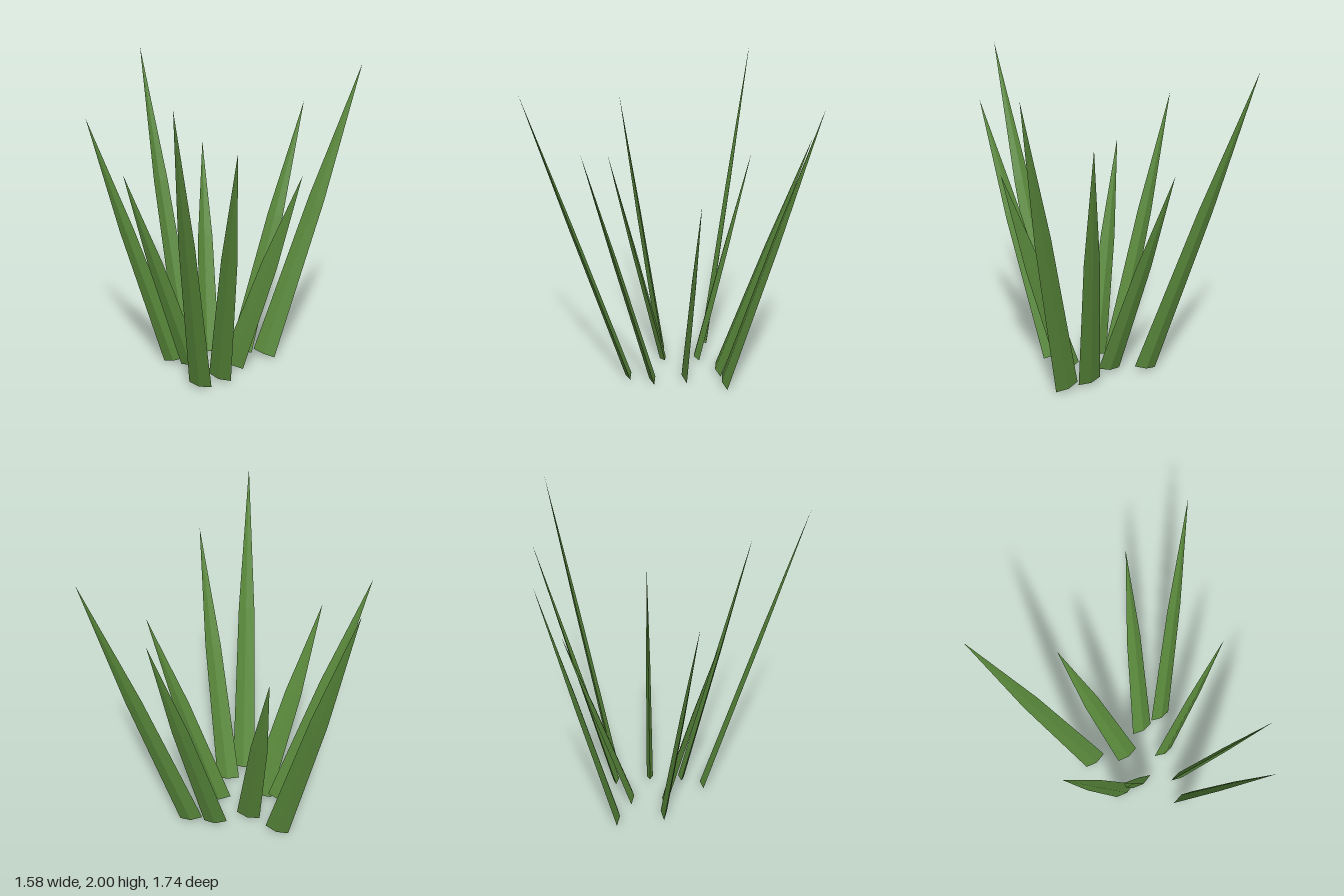
import * as THREE from 'three';

// Each blade: base x, base z, then tip x, y, z
const BLADES = [
  [-0.28, -0.368, -0.79, 2.0, -0.768],
  [-0.065, -0.272, -0.28, 1.4, -0.67],
  [0.135, -0.375, 0.38, 1.7, -0.868],
  [0.30, -0.382, 0.79, 2.0, -0.80],
  [0.162, -0.142, 0.615, 1.4, -0.142],
  [-0.23, -0.056, -0.745, 1.7, 0.138],
  [-0.097, -0.043, -0.423, 1.4, 0.27],
  [0.157, 0.075, 0.445, 1.7, 0.543],
  [0.079, 0.222, 0.19, 2.0, 0.867],
];
const BASE_Y = 0.027;
const HALF_WIDTH = 0.078;
const HALF_DEPTH = 0.021;

// Closed diamond-section spike that narrows faster above its bend
function bladeGeometry(length) {
  const profile = [[0, 0], [1, 0], [0.69, 0.55 * length], [0, length]];
  const geometry = new THREE.LatheGeometry(
    profile.map(([r, y]) => new THREE.Vector2(r, y)), 4);
  return geometry.scale(HALF_WIDTH, 1, HALF_DEPTH);
}

export function createModel() {
  const group = new THREE.Group();
  group.name = 'grassTuft';
  const green = new THREE.MeshStandardMaterial({ color: 0x5a8a3c, flatShading: true });
  green.name = 'leafGreen';

  BLADES.forEach(([x, z, tipX, tipY, tipZ], i) => {
    const dir = new THREE.Vector3(tipX - x, tipY - BASE_Y, tipZ - z);
    const length = dir.length();
    const blade = new THREE.Mesh(bladeGeometry(length), green);
    blade.name = `blade${i + 1}`;
    blade.position.set(x, BASE_Y, z);
    // Lean forward or back first, then sideways, so the broad side keeps facing front
    blade.rotation.set(Math.asin(dir.z / length), 0, Math.atan2(-dir.x, dir.y), 'ZYX');
    group.add(blade);
  });
  return group;
}
